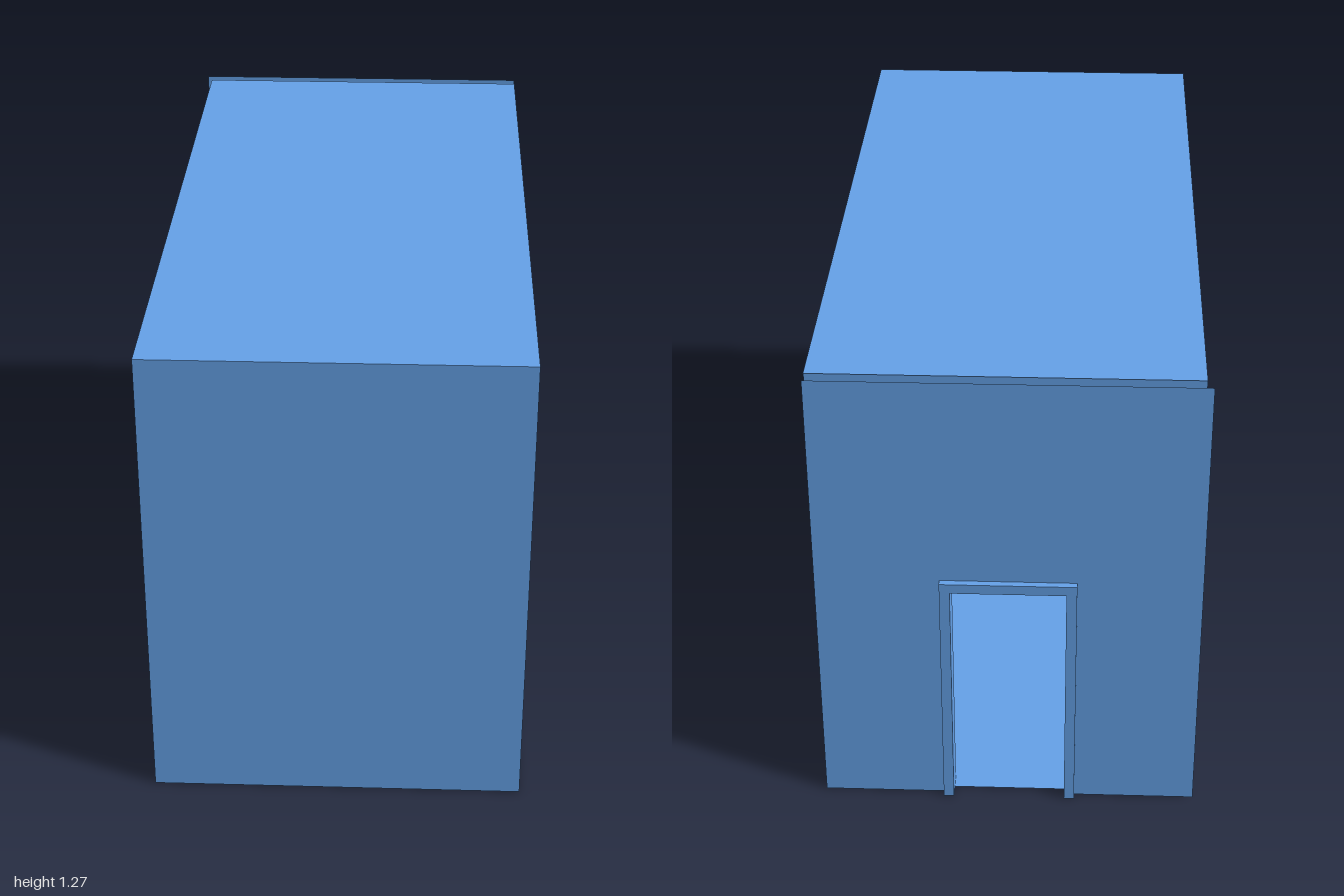
import * as THREE from 'three';

const X0 = -0.477, X1 = 0.49, H = 1.27;   // room sides and height
const FRONT = 1, SIDE_END = -0.943, ROOF_END = -0.948, FLOOR_END = -0.963;
const DOOR = { x0: -0.175, x1: 0.173, h: 0.695, t: 0.027, back: -1, inner: -0.922 };

const material = new THREE.MeshStandardMaterial({ color: 0x66a3eb, side: THREE.DoubleSide, flatShading: true });

export function createModel() {
  const room = new THREE.Group();
  room.name = 'room';

  const add = (name, geometry) => {
    const mesh = new THREE.Mesh(geometry, material);
    mesh.name = name;
    room.add(mesh);
    return mesh;
  };

  // Thin side walls
  const sideDepth = FRONT - SIDE_END;
  for (const [name, x, sign] of [['leftWall', X1, 1], ['rightWall', X0, -1]]) {
    const wall = add(name, new THREE.PlaneGeometry(sideDepth, H));
    wall.rotation.y = sign * Math.PI / 2;
    wall.position.set(x, H / 2, (FRONT + SIDE_END) / 2);
  }

  // Floor and ceiling
  for (const [name, y, end, sign] of [['ceiling', H, ROOF_END, -1], ['floor', 0, FLOOR_END, 1]]) {
    const slab = add(name, new THREE.PlaneGeometry(X1 - X0, FRONT - end));
    slab.rotation.x = sign * Math.PI / 2;
    slab.position.set((X0 + X1) / 2, y, (FRONT + end) / 2);
  }

  // Closed front wall
  add('frontWall', new THREE.PlaneGeometry(X1 - X0, H))
    .position.set((X0 + X1) / 2, H / 2, FRONT);

  // Arch-like outline: a rectangle with a doorway cut up from its bottom edge
  const outline = (a, b, top, da, db, dTop) => new THREE.Shape([
    [a, 0], [da, 0], [da, dTop], [db, dTop], [db, 0], [b, 0], [b, top], [a, top],
  ].map(([x, y]) => new THREE.Vector2(x, y)));

  // Double back wall: an inner leaf closing the room and an outer leaf just behind it
  const { x0, x1, h, t, back, inner } = DOOR;
  const m = t / 2;
  for (const [name, left, z] of [['innerDoorWall', X0, SIDE_END], ['outerDoorWall', -0.492, -0.982]]) {
    add(name, new THREE.ShapeGeometry(outline(left, X1, H, x0 + m, x1 - m, h - m)))
      .position.z = z;
  }

  // Door frame: two jambs and a lintel in one piece
  add('doorFrame', new THREE.ExtrudeGeometry(
    outline(x0, x1, h, x0 + t, x1 - t, h - t),
    { depth: inner - back, bevelEnabled: false },
  )).position.z = back;

  return room;
}
